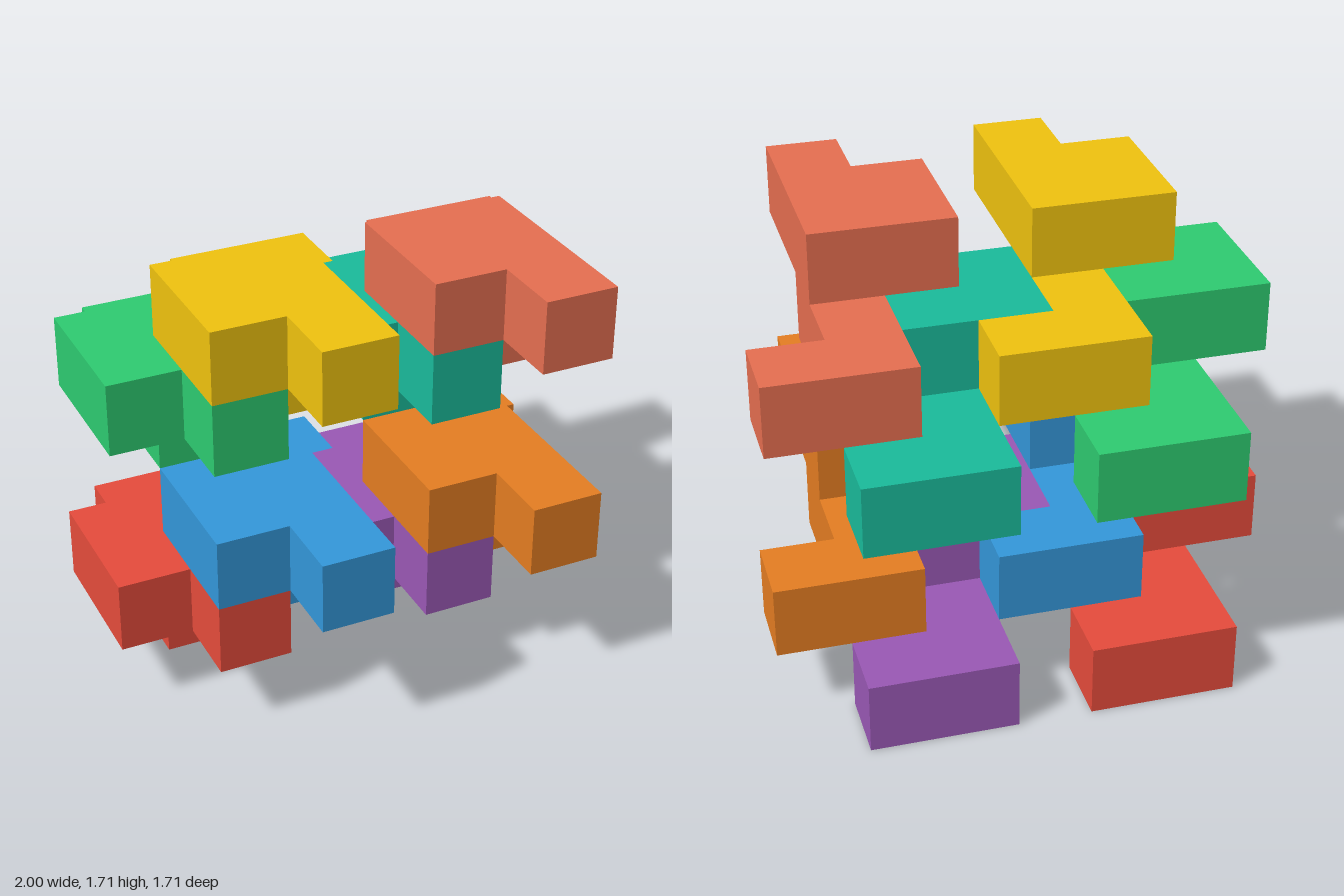
import * as THREE from 'three';
import { mergeGeometries } from 'three/addons/utils/BufferGeometryUtils.js';

const U = 2 / 7; // edge of one unit cube

// One interlocking block: an L of four cubes below, a P of five cubes above [x, y, z]
const CELLS = [
  [1, 0, -2], [1, 0, -1], [1, 0, 0], [2, 0, -2],
  [0, 1, 0], [1, 1, 0], [0, 1, 1], [1, 1, 1], [1, 1, 2],
];

const DIRECTIONS = [
  [1, 0, 0], [-1, 0, 0], [0, 1, 0], [0, -1, 0], [0, 0, 1], [0, 0, -1],
];

// Outer skin of the block: one square for each cube side without a neighbour
function blockGeometry() {
  const filled = new Set(CELLS.map(String));
  const forward = new THREE.Vector3(0, 0, 1);
  const faces = [];
  for (const cell of CELLS) {
    for (const dir of DIRECTIONS) {
      if (filled.has(String(cell.map((c, i) => c + dir[i])))) continue;
      const turn = new THREE.Quaternion().setFromUnitVectors(forward, new THREE.Vector3(...dir));
      if (dir[2] === -1) turn.setFromAxisAngle(new THREE.Vector3(0, 1, 0), Math.PI);
      const centre = cell.map((c, i) => (c + 0.5 + dir[i] * 0.5) * U);
      faces.push(new THREE.PlaneGeometry(U, U).applyQuaternion(turn).translate(...centre));
    }
  }
  return mergeGeometries(faces);
}

export function createModel() {
  const model = new THREE.Group();
  model.name = 'interlockingBlocks';
  const geometry = blockGeometry();

  // Each tier: right lower, right upper, left lower, left upper block
  const tiers = [
    { name: 'bottom', y: 0, colors: [0xe74c3c, 0x3498db, 0x9b59b6, 0xe67e22] },
    { name: 'top', y: 3, colors: [0x2ecc71, 0xf1c40f, 0x1abc9c, 0xe76f51] },
  ];
  const places = [
    ['RightLowerBlock', -3.5, 0, -1],
    ['RightUpperBlock', -2.5, 1, 0],
    ['LeftLowerBlock', -0.5, 0, -1],
    ['LeftUpperBlock', 0.5, 1, 0],
  ];

  for (const tier of tiers) {
    places.forEach(([name, x, y, z], i) => {
      const block = new THREE.Mesh(
        geometry,
        new THREE.MeshStandardMaterial({ color: tier.colors[i] }),
      );
      block.name = tier.name + name;
      block.position.set(x * U, (y + tier.y) * U, z * U);
      model.add(block);
    });
  }
  return model;
}
